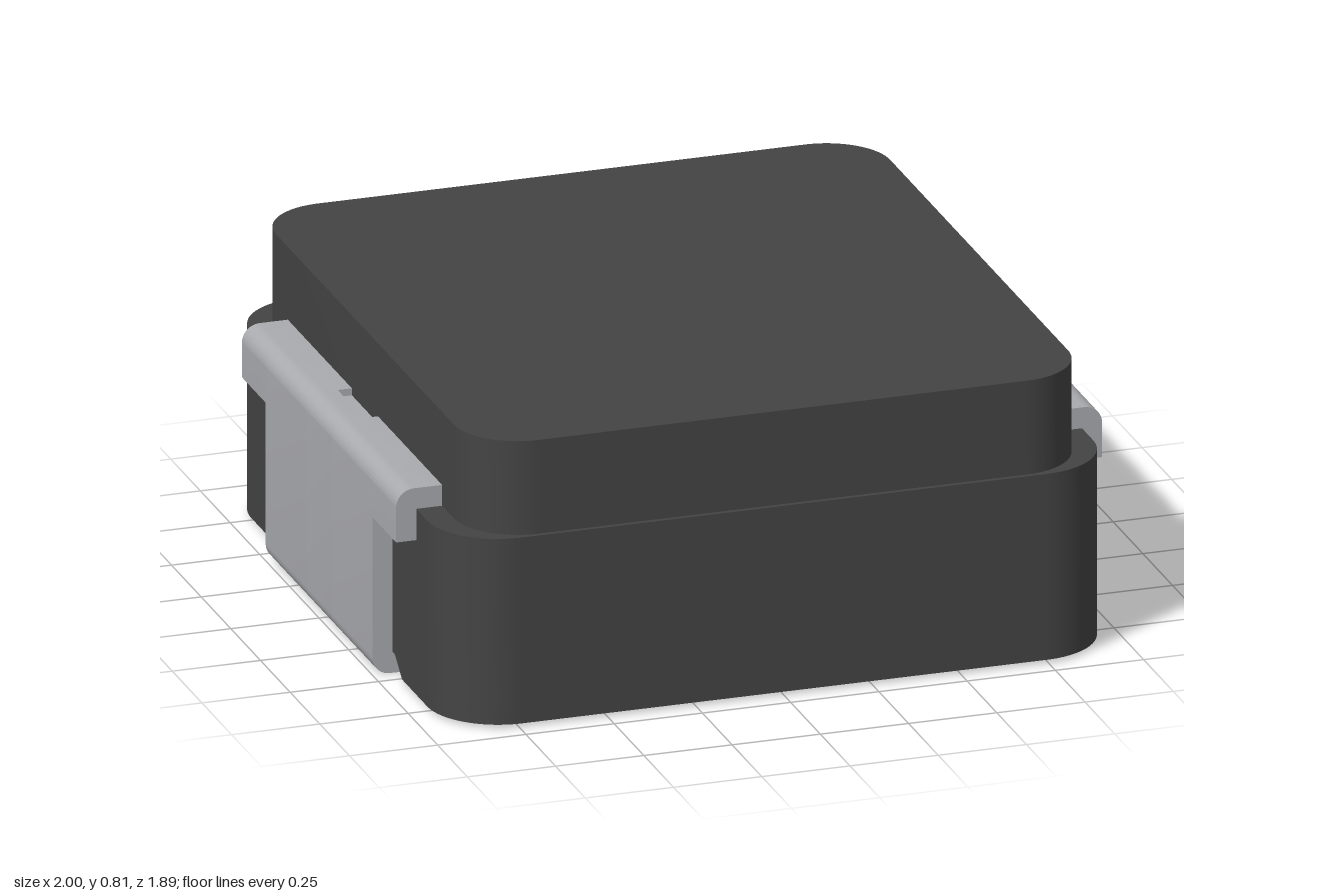
import * as THREE from 'three';
import { toCreasedNormals } from 'three/addons/utils/BufferGeometryUtils.js';

const bodyMat = new THREE.MeshStandardMaterial({ color: 0x444444 });
bodyMat.name = 'darkBody';
const metalMat = new THREE.MeshStandardMaterial({ color: 0xaaabaf });
metalMat.name = 'tinnedMetal';

// Rounded rectangle; a notch {x, z} cuts a slot into both x sides
function roundedPlan(w, d, r, notch) {
  const s = new THREE.Shape();
  s.moveTo(w, -d + r);
  if (notch) {
    s.lineTo(w, -notch.z); s.lineTo(notch.x, -notch.z);
    s.lineTo(notch.x, notch.z); s.lineTo(w, notch.z);
  }
  s.lineTo(w, d - r);
  s.absarc(w - r, d - r, r, 0, Math.PI / 2);
  s.absarc(-w + r, d - r, r, Math.PI / 2, Math.PI);
  if (notch) {
    s.lineTo(-w, notch.z); s.lineTo(-notch.x, notch.z);
    s.lineTo(-notch.x, -notch.z); s.lineTo(-w, -notch.z);
  }
  s.absarc(-w + r, -d + r, r, Math.PI, Math.PI * 1.5);
  s.absarc(w - r, -d + r, r, Math.PI * 1.5, Math.PI * 2);
  return s;
}

// Extrude a plan upward from y0 to y1
function slab(name, shape, y0, y1, rule) {
  let g = new THREE.ExtrudeGeometry(shape, { depth: y1 - y0, bevelEnabled: false, curveSegments: 14 });
  g.rotateX(-Math.PI / 2).translate(0, y0, 0);
  if (rule) rule(g.attributes.position);
  g = toCreasedNormals(g, 0.5);
  const m = new THREE.Mesh(g, bodyMat);
  m.name = name;
  return m;
}

// Side profile of the bent strip
function stripProfile(full, slotted) {
  const top = 0.605, out = 1, inn = 0.94, r = 0.05;
  const s = new THREE.Shape();
  if (full) {
    s.moveTo(0.57, 0);
    s.lineTo(out - r, 0);
    s.absarc(out - r, r, r, -Math.PI / 2, 0);
  } else {
    s.moveTo(inn, 0.455);
    s.lineTo(out, 0.455);
  }
  s.absarc(out - r, top - r, r, 0, Math.PI / 2);
  if (slotted) {
    s.lineTo(0.91, top); s.lineTo(0.91, 0.585); s.lineTo(0.86, 0.585);
  } else s.lineTo(0.86, top);
  s.lineTo(0.86, 0.545);
  s.lineTo(inn, 0.545);
  if (full) { s.lineTo(inn, 0.055); s.lineTo(0.57, 0.055); }
  s.closePath();
  return s;
}

function terminal(name) {
  const g = new THREE.Group();
  g.name = name;
  const parts = [
    ['wing', -0.65, -0.45, false, false],
    ['strip', -0.45, -0.11, true, false],
    ['slottedStrip', -0.11, 0.11, true, true],
    ['strip', 0.11, 0.45, true, false],
    ['wing', 0.45, 0.65, false, false],
  ];
  for (const [part, z0, z1, full, slotted] of parts) {
    const geo = new THREE.ExtrudeGeometry(stripProfile(full, slotted),
      { depth: z1 - z0, bevelEnabled: false, curveSegments: 8 });
    geo.translate(0, 0, z0);
    const m = new THREE.Mesh(toCreasedNormals(geo, 0.5), metalMat);
    m.name = part;
    g.add(m);
  }
  return g;
}

export function createModel() {
  const model = new THREE.Group();
  model.name = 'powerInductor';

  // Moulded body: foot layer with terminal recesses, base and narrower cap
  const recess = { x: 0.56, z: 0.53 };
  model.add(slab('foot', roundedPlan(0.943, 0.943, 0.2, recess), 0.01, 0.06, (p) => {
    // slope the recess walls inward toward the top
    for (let i = 0; i < p.count; i++) {
      if (p.getY(i) > 0.05 && Math.abs(Math.abs(p.getZ(i)) - recess.z) < 1e-4) {
        p.setZ(i, Math.sign(p.getZ(i)) * 0.47);
      }
    }
  }));
  model.add(slab('base', roundedPlan(0.943, 0.943, 0.2), 0.06, 0.545));
  model.add(slab('cap', roundedPlan(0.87, 0.93, 0.18), 0.545, 0.815));

  // Bent metal terminals on both sides
  const left = terminal('leftTerminal');
  const right = terminal('rightTerminal');
  right.rotation.y = Math.PI;
  model.add(left, right);
  return model;
}
